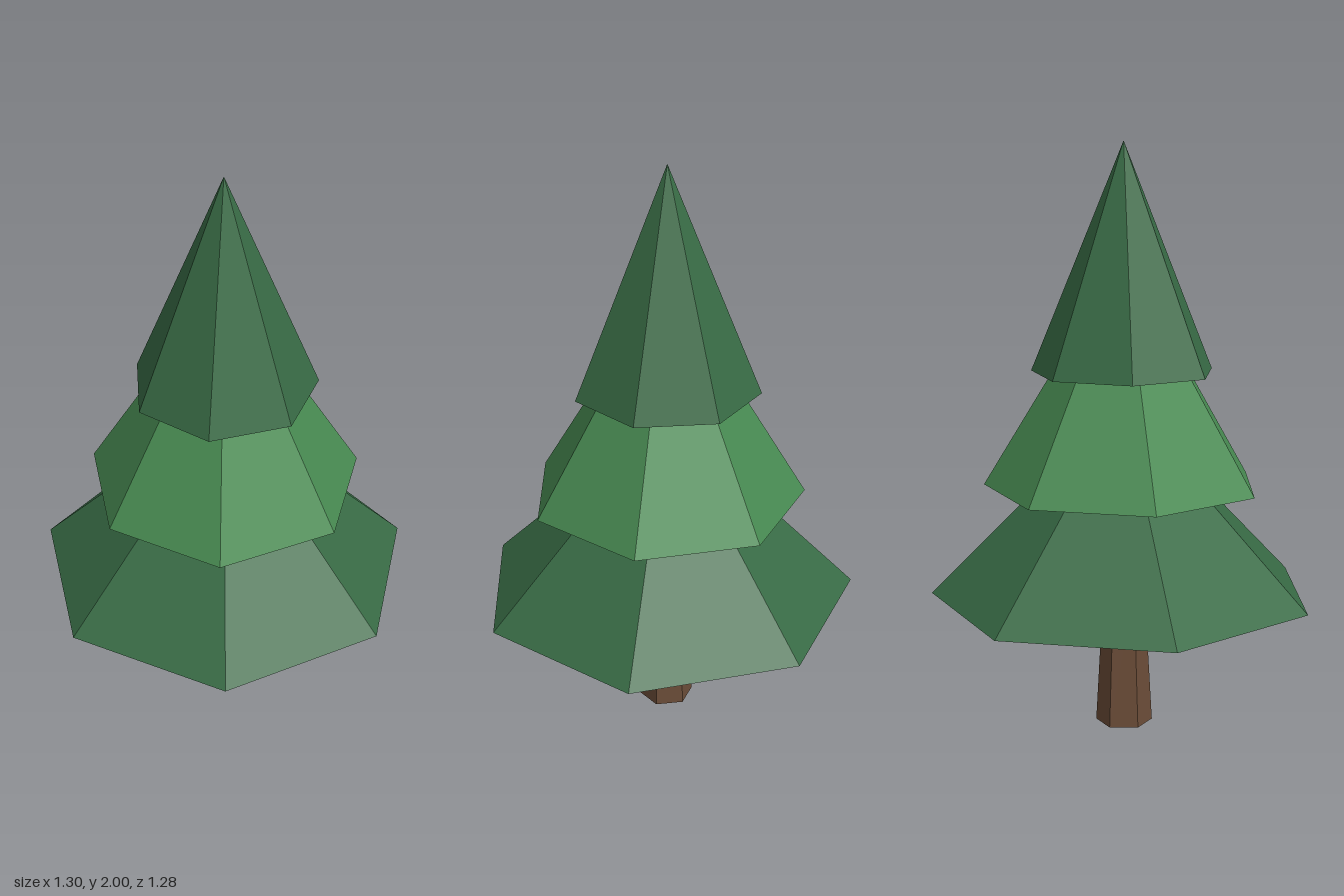
import * as THREE from 'three';

export function createModel() {
  const tree = new THREE.Group();
  tree.name = 'pineTree';

  const makeMaterial = (name, color) => {
    const m = new THREE.MeshStandardMaterial({ color });
    m.name = name;
    return m;
  };
  const bark = makeMaterial('bark brown', 0x6b4d38);
  const darkGreen = makeMaterial('dark green', 0x386b45);
  const lightGreen = makeMaterial('light green', 0x488b52);

  // The trunk axis sits slightly off the centre of the spreading branches
  const axis = { x: -0.007, z: -0.028 };

  const addPart = (name, geometry, material, bottom, height) => {
    // Separate the corners so every facet is flat
    const flat = geometry.toNonIndexed();
    flat.computeVertexNormals();
    const mesh = new THREE.Mesh(flat, material);
    mesh.name = name;
    mesh.position.set(axis.x, bottom + height / 2, axis.z);
    tree.add(mesh);
  };

  // Tapered six-sided trunk
  addPart('trunk', new THREE.CylinderGeometry(0.07, 0.098, 0.5, 6, 1, false, Math.PI / 6), bark, 0, 0.5);

  // Seven-sided foliage cones, each turned a little further
  const tiers = [
    { name: 'lowerFoliage', radius: 0.665, bottom: 0.467, height: 0.667, turn: -0.042, material: darkGreen },
    { name: 'middleFoliage', radius: 0.479, bottom: 0.847, height: 0.785, turn: -0.075, material: lightGreen },
    { name: 'topFoliage', radius: 0.318, bottom: 1.235, height: 0.765, turn: -0.2, material: darkGreen },
  ];
  for (const t of tiers) {
    addPart(t.name, new THREE.ConeGeometry(t.radius, t.height, 7, 1, false, t.turn), t.material, t.bottom, t.height);
  }

  return tree;
}
